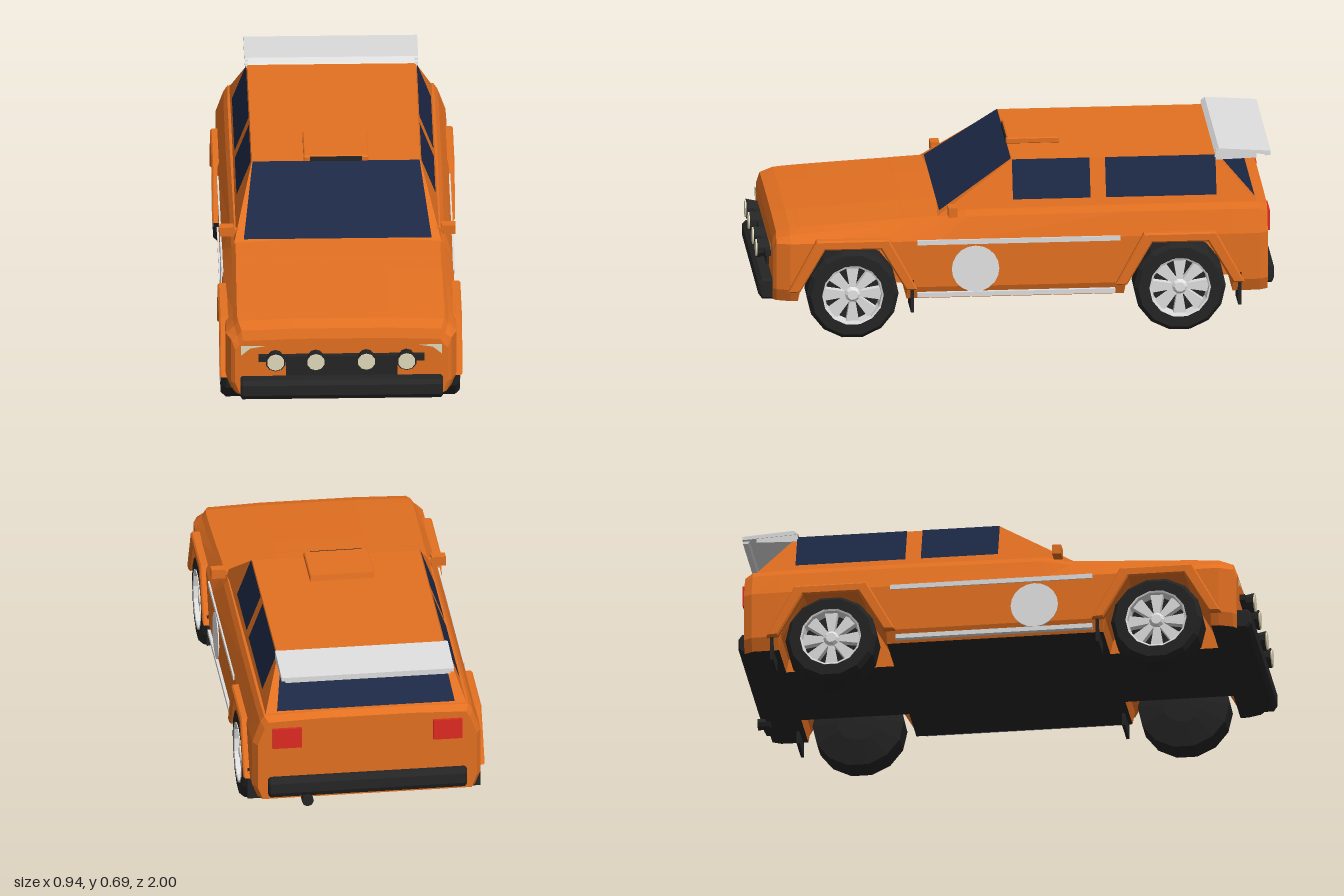
import * as THREE from 'three';

const mat = (name, color) => { const m = new THREE.MeshStandardMaterial({ color }); m.name = name; return m; };

export function createModel() {
  const car = new THREE.Group();
  car.name = 'rallyCar';
  const paint = mat('orangePaint', 0xe37021);
  const glass = mat('darkBlueGlass', 0x1c2845);
  const black = mat('blackTrim', 0x252525);
  const rubber = mat('blackRubber', 0x242424);
  const silver = mat('silver', 0xdedede);
  const white = mat('paleGrey', 0xe4e4e4);
  const cream = mat('creamLens', 0xe2dabb);
  const red = mat('redLens', 0xde2a20);

  const add = (name, geo, material, parent = car) => {
    const m = new THREE.Mesh(geo, material);
    m.name = name;
    parent.add(m);
    return m;
  };
  const flat = (geo) => {
    const g = geo.index ? geo.toNonIndexed() : geo;
    g.computeVertexNormals();
    return g;
  };
  // box given by its limits
  const box = (name, x0, x1, y0, y1, z0, z1, material) => {
    const g = new THREE.BoxGeometry(x1 - x0, y1 - y0, z1 - z0);
    return add(name, g.translate((x0 + x1) / 2, (y0 + y1) / 2, (z0 + z1) / 2), material);
  };
  // flat faces from polygons
  const faces = (polys) => {
    const pos = [];
    for (const p of polys)
      for (let i = 1; i < p.length - 1; i++) pos.push(...p[0], ...p[i], ...p[i + 1]);
    const g = new THREE.BufferGeometry();
    g.setAttribute('position', new THREE.Float32BufferAttribute(pos, 3));
    g.computeVertexNormals();
    return g;
  };
  // thin pane lifted slightly off the surface it lies on
  const pane = (name, pts, material) => {
    const [a, b, c] = pts.map((p) => new THREE.Vector3(...p));
    const n = b.clone().sub(a).cross(c.clone().sub(a)).normalize().multiplyScalar(0.004);
    add(name, faces([pts]).translate(n.x, n.y, n.z), material);
  };
  // outline in (z, y) extruded across x
  const prism = (pts, x0, x1, bevel = 0) => {
    const shape = new THREE.Shape(pts.map(([z, y]) => new THREE.Vector2(-z, y)));
    const g = new THREE.ExtrudeGeometry(shape, {
      depth: x1 - x0 - 2 * bevel, bevelEnabled: bevel > 0, bevelSize: bevel,
      bevelThickness: bevel, bevelOffset: -bevel, bevelSegments: 1,
    });
    return g.rotateY(Math.PI / 2).translate(x0 + bevel, 0, 0);
  };
  const flip = (p) => p.map(([x, y, z]) => [-x, y, z]).reverse();

  // body: z, deck height, side x, lower edge (raised over wheels), shoulder x
  const stations = [
    [0.945, 0.39, 0.41, 0.15, 0.395], [0.932, 0.428, 0.425, 0.15, 0.4],
    [0.88, 0.444, 0.445, 0.15, 0.412],
    [0.85, 0.446, 0.445, 0.15, 0.415], [0.84, 0.447, 0.445, 0.2, 0.415],
    [0.75, 0.453, 0.445, 0.365, 0.415], [0.53, 0.466, 0.445, 0.365, 0.412],
    [0.44, 0.471, 0.445, 0.2, 0.41], [0.43, 0.472, 0.445, 0.15, 0.41],
    [0.3, 0.479, 0.445, 0.15, 0.41], [0.2, 0.5, 0.445, 0.15, 0.412],
    [-0.41, 0.505, 0.445, 0.15, 0.415], [-0.42, 0.505, 0.445, 0.2, 0.415],
    [-0.51, 0.505, 0.445, 0.365, 0.415], [-0.73, 0.505, 0.445, 0.365, 0.415],
    [-0.82, 0.505, 0.445, 0.2, 0.415], [-0.83, 0.505, 0.445, 0.15, 0.415],
    [-0.935, 0.503, 0.443, 0.15, 0.412], [-0.967, 0.488, 0.425, 0.15, 0.398],
  ];
  const rings = stations.map(([z, yt, xs, yb, xd]) => [
    [0, 0.15], [0.22, 0.15], [0.22, yb], [xs - 0.02, yb], [xs, Math.max(yb + 0.01, 0.2)],
    [xs, Math.min(0.385, yt - 0.045)], [xd, yt - 0.03], [xd - 0.015, yt - 0.007], [0.18, yt], [0, yt],
  ].map(([x, y]) => [x, y, z]));
  const shell = [], under = [];
  for (let s = 0; s < rings.length - 1; s++) {
    const inWell = Math.max(stations[s][3], stations[s + 1][3]) > 0.15;
    for (let i = 0; i < 9; i++) {
      const q = [rings[s][i], rings[s + 1][i], rings[s + 1][i + 1], rings[s][i + 1]];
      (i < 1 || (i < 3 && !inWell) ? under : shell).push(q, flip(q));
    }
  }
  const front = rings[0], back = [...rings[rings.length - 1]].reverse();
  shell.push(front, flip(front), back, flip(back));
  add('body', faces(shell), paint);
  add('underside', faces(under), black);

  // cabin
  const B = (x, z) => [x, 0.47, z], T = (x, z) => [x, 0.67, z];
  const side = [B(0.4, 0.31), B(0.4, -0.948), T(0.325, -0.775), T(0.325, 0.015)];
  add('cabin', faces([
    side, flip(side),
    [B(-0.4, 0.31), B(0.4, 0.31), T(0.325, 0.015), T(-0.325, 0.015)],
    [B(0.4, -0.948), B(-0.4, -0.948), T(-0.325, -0.775), T(0.325, -0.775)],
    [T(-0.325, 0.015), T(0.325, 0.015), T(0.325, -0.775), T(-0.325, -0.775)],
  ]), paint);

  // windows
  const up = (y) => (y - 0.47) / 0.2;
  const fz = (y) => 0.31 - 0.295 * up(y), rz = (y) => -0.948 + 0.173 * up(y), sx = (y) => 0.4 - 0.075 * up(y);
  pane('windscreen', [[-0.362, 0.479, fz(0.479)], [0.362, 0.479, fz(0.479)],
    [0.322, 0.669, fz(0.669)], [-0.322, 0.669, fz(0.669)]], glass);
  pane('rearWindow', [[0.345, 0.503, rz(0.503)], [-0.345, 0.503, rz(0.503)],
    [-0.312, 0.667, rz(0.667)], [0.312, 0.667, rz(0.667)]], glass);
  for (const [name, z0, z1] of [['frontSideWindow', 0.015, -0.285], ['rearSideWindow', -0.345, -0.772]]) {
    const w = [[sx(0.524), 0.524, z0], [sx(0.524), 0.524, z1], [sx(0.669), 0.669, z1], [sx(0.669), 0.669, z0]];
    pane(name + 'Left', w, glass);
    pane(name + 'Right', flip(w), glass);
  }

  // roof scoop
  add('roofScoop', prism([[0.02, 0.668], [0.02, 0.688], [0.012, 0.693], [-0.182, 0.693], [-0.187, 0.668]], -0.125, 0.125, 0.004), paint);
  box('scoopOpening', -0.1, 0.1, 0.672, 0.69, 0.016, 0.022, black);

  // rear wing
  add('wingBlade', prism([[-0.768, 0.68], [-0.785, 0.696], [-0.985, 0.682], [-0.985, 0.668]], -0.335, 0.335), silver);
  add('wingLip', prism([[-0.955, 0.675], [-0.985, 0.675], [-0.985, 0.66], [-0.965, 0.658]], -0.32, 0.32), silver);
  for (const s of [-1, 1])
    add('wingEnd', prism([[-0.765, 0.65], [-0.775, 0.692], [-0.93, 0.68], [-0.93, 0.655]], s * 0.327 - 0.006, s * 0.327 + 0.006), silver);

  // front trim, light bar and lamps
  const bumper = [[0.935, 0.15], [0.985, 0.15], [1, 0.172], [1, 0.215], [0.985, 0.23], [0.935, 0.23]];
  add('frontBumper', prism(bumper, -0.39, 0.39, 0.008), black);
  box('grille', -0.215, 0.215, 0.235, 0.312, 0.935, 0.955, black);
  box('lightBar', -0.32, 0.32, 0.302, 0.325, 0.94, 0.967, black);
  for (const x of [-0.255, -0.1, 0.095, 0.25]) {
    const lamp = flat(new THREE.CylinderGeometry(0.04, 0.03, 0.045, 10));
    add('lampHousing', lamp.rotateX(Math.PI / 2).translate(x, 0.315, 0.972), black);
    add('lampLens', new THREE.CylinderGeometry(0.034, 0.034, 0.008, 10).rotateX(Math.PI / 2).translate(x, 0.315, 0.996), cream);
  }
  const tips = [[0.29, 0.363, 0.946], [0.352, 0.352, 0.946], [0.387, 0.322, 0.946]];
  const corner = [0.387, 0.363, 0.946];
  pane('headlightLeft', [corner, ...tips], cream);
  pane('headlightRight', flip([...tips, corner]), cream);

  // rear trim
  add('rearBumper', prism([[-0.95, 0.165], [-0.985, 0.165], [-0.995, 0.185], [-0.995, 0.225], [-0.98, 0.245], [-0.95, 0.245]], -0.385, 0.385, 0.008), black);
  add('exhaust', flat(new THREE.CylinderGeometry(0.023, 0.023, 0.05, 8)).rotateX(Math.PI / 2).translate(0.235, 0.148, -0.975), black);

  // wheel with its outer face towards +x
  const P = (r, y) => new THREE.Vector2(r, y);
  const turned = (pts, n) => flat(new THREE.LatheGeometry(pts, n)).rotateZ(-Math.PI / 2);
  const tyre = turned([P(0, -0.085), P(0.08, -0.083), P(0.178, -0.06), P(0.178, 0.042), P(0.162, 0.06),
    P(0.118, 0.06), P(0.116, 0.01), P(0, 0.01)], 14);
  const rim = turned([P(0.119, 0.055), P(0.119, 0.063), P(0.112, 0.06), P(0.108, 0.012)], 14);
  const hub = turned([P(0.034, 0.01), P(0.03, 0.045), P(0.02, 0.055), P(0, 0.055)], 10);
  const spoke = prism([[-0.01, 0.02], [0.01, 0.02], [0.025, 0.11], [-0.025, 0.11]], 0.012, 0.042);
  const wheel = (name, s, z) => {
    const g = new THREE.Group();
    g.name = name;
    g.position.set(s * 0.4, 0.178, z);
    if (s < 0) g.rotation.y = Math.PI;
    add('tyre', tyre, rubber, g);
    add('rim', rim, silver, g);
    add('hub', hub, white, g);
    for (let i = 0; i < 8; i++) add('spoke', spoke, silver, g).rotation.x = (i * Math.PI) / 4;
    car.add(g);
  };

  // parts repeated on both sides
  for (const s of [-1, 1]) {
    const sideBox = (name, x0, x1, ...rest) => box(name, Math.min(s * x0, s * x1), Math.max(s * x0, s * x1), ...rest);
    for (const [end, zc] of [['front', 0.64], ['rear', -0.625]]) {
      wheel(end + 'Wheel', s, zc);
      const arch = [[-0.25, 0.195], [-0.14, 0.4], [0.14, 0.4], [0.25, 0.195], [0.205, 0.195], [0.108, 0.362], [-0.108, 0.362], [-0.205, 0.195]];
      const pts = arch.map(([z, y]) => [z + zc, y]);
      add(end + 'ArchFlare', prism(pts, s > 0 ? 0.415 : -0.468, s > 0 ? 0.468 : -0.415, 0.006), paint);
      sideBox(end + 'Mudflap', 0.32, 0.452, 0.1, 0.23, zc - 0.237, zc - 0.225, rubber);
    }
    sideBox('mirrorStem', 0.38, 0.42, 0.488, 0.505, 0.245, 0.262, paint);
    sideBox('mirror', 0.4, 0.455, 0.48, 0.518, 0.235, 0.27, paint);
    sideBox('sideStripe', 0.442, 0.45, 0.37, 0.389, -0.395, 0.39, silver);
    sideBox('sillStrip', 0.43, 0.451, 0.16, 0.178, -0.375, 0.39, silver);
    const disc = new THREE.CylinderGeometry(0.092, 0.092, 0.008, 20).rotateZ(Math.PI / 2);
    add('doorRoundel', disc.translate(s * 0.445, 0.27, 0.165), white);
    sideBox('tailLight', 0.255, 0.368, 0.372, 0.455, -0.979, -0.962, red);
  }
  return car;
}
